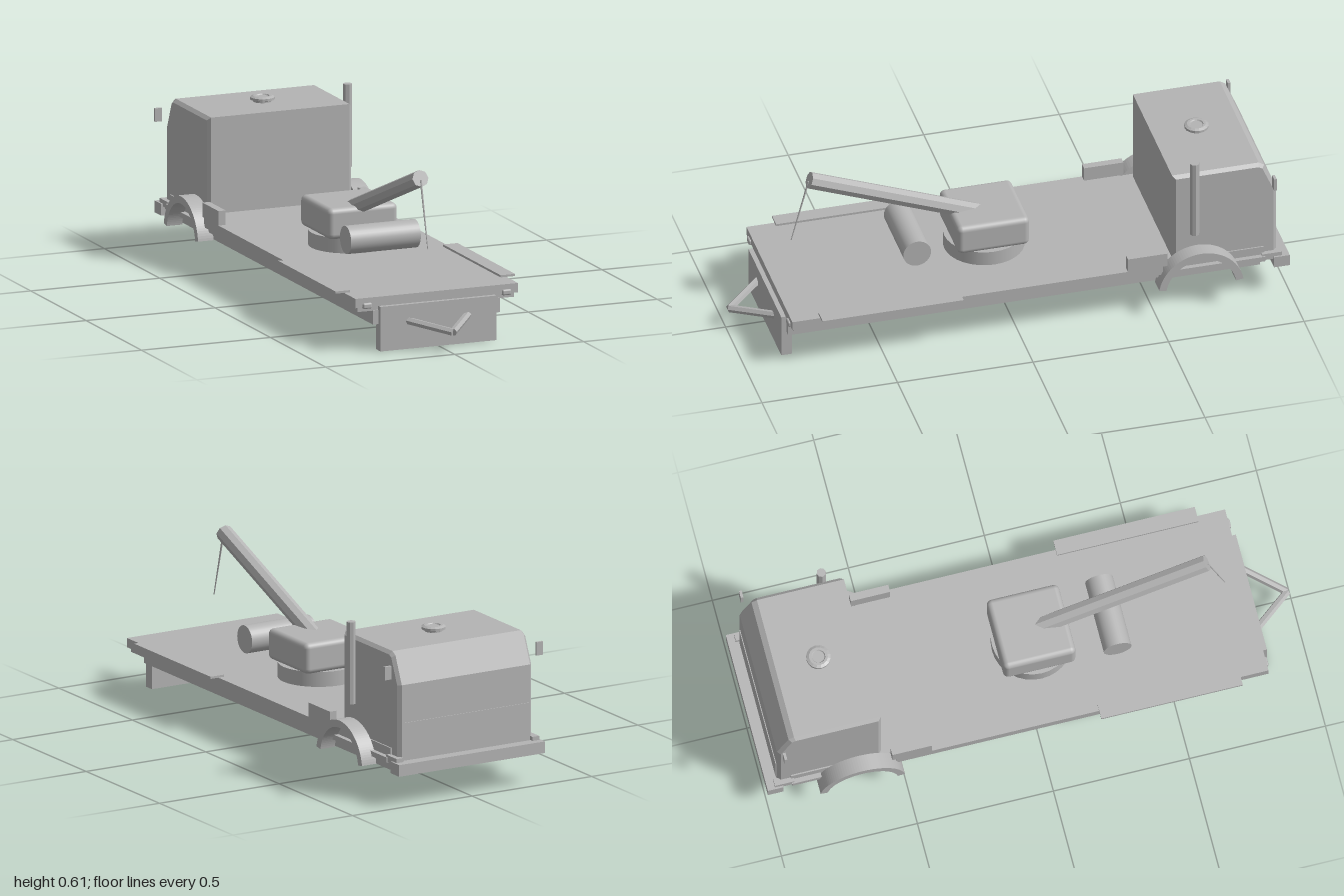
import * as THREE from 'three';
import { RoundedBoxGeometry } from 'three/addons/geometries/RoundedBoxGeometry.js';

export function createModel() {
  const model = new THREE.Group();
  model.name = 'craneTruck';
  const grey = new THREE.MeshStandardMaterial({ color: 0xb4b4b4 });
  grey.name = 'plainGrey';
  const greyFlat = grey;

  const add = (name, geo, x = 0, y = 0, z = 0) => {
    const m = new THREE.Mesh(geo, greyFlat);
    m.name = name;
    m.position.set(x, y, z);
    model.add(m);
    return m;
  };
  // box given by its limits on each axis
  const box = (name, x0, x1, y0, y1, z0, z1) =>
    add(name, new THREE.BoxGeometry(x1 - x0, y1 - y0, z1 - z0), (x0 + x1) / 2, (y0 + y1) / 2, (z0 + z1) / 2);
  // the same box on both sides
  const boxPair = (name, x0, x1, y0, y1, z0, z1) => {
    box(name + 'Left', x0, x1, y0, y1, z0, z1);
    box(name + 'Right', -x1, -x0, y0, y1, z0, z1);
  };
  // faceted rod between two points
  const rod = (name, a, b, r, sides, rEnd = r) => {
    const p = new THREE.Vector3(...a), q = new THREE.Vector3(...b);
    const dir = q.clone().sub(p);
    let g = new THREE.CylinderGeometry(rEnd, r, dir.length(), sides);
    if (sides < 12) { g = g.toNonIndexed(); g.computeVertexNormals(); }
    const m = add(name, g);
    m.position.copy(p).add(q).multiplyScalar(0.5);
    m.quaternion.setFromUnitVectors(new THREE.Vector3(0, 1, 0), dir.normalize());
    return m;
  };
  // side profile in (z, y), extruded across the width
  const across = (shape, width, bevel = 0) => {
    const g = new THREE.ExtrudeGeometry(shape, {
      depth: width - 2 * bevel, bevelEnabled: bevel > 0, bevelSize: bevel,
      bevelThickness: bevel, bevelOffset: -bevel, bevelSegments: 1, curveSegments: 24,
    });
    g.translate(0, 0, -(width - 2 * bevel) / 2);
    return g.rotateY(-Math.PI / 2);
  };

  // Chassis and deck
  box('chassis', -0.246, 0.246, 0.098, 0.15, -0.905, 0.835);
  box('sideRails', -0.303, 0.303, 0.148, 0.167, -0.91, 0.83);
  box('deck', -0.315, 0.315, 0.165, 0.199, -0.53, 0.838);
  box('cabFloor', -0.285, 0.285, 0.165, 0.199, -0.91, -0.53);
  boxPair('deckStrip', 0.292, 0.348, 0.199, 0.207, 0.215, 0.735);
  boxPair('sideLocker', 0.287, 0.315, 0.199, 0.252, -0.545, -0.4);
  box('rearBumper', -0.305, 0.305, 0.117, 0.16, -1.0, -0.942);
  boxPair('bumperBracket', 0.27, 0.298, 0.15, 0.175, -0.972, -0.9);

  // Cab with sloped rear
  const cab = new THREE.Shape([
    [-0.575, 0.155], [-0.575, 0.552], [-0.895, 0.552], [-0.915, 0.54], [-0.958, 0.44], [-0.958, 0.155],
  ].map(p => new THREE.Vector2(...p)));
  add('cab', across(cab, 0.56, 0.012));
  box('rearPanel', -0.262, 0.262, 0.17, 0.3, -0.961, -0.953);
  boxPair('mirror', 0.304, 0.331, 0.464, 0.513, -0.945, -0.935);

  // Roof hatch
  const hatch = [[0, 0], [0.033, 0], [0.033, 0.008], [0.044, 0.012], [0.044, 0.021], [0.034, 0.026], [0.025, 0.026], [0.022, 0.022], [0, 0.022]];
  const hatchGeo = new THREE.LatheGeometry(hatch.map(p => new THREE.Vector2(...p)), 16).toNonIndexed();
  hatchGeo.computeVertexNormals();
  add('roofHatch', hatchGeo, 0, 0.548, -0.737);

  // Exhaust stack
  rod('exhaust', [0.293, 0.305, -0.652], [0.293, 0.608, -0.652], 0.017, 8);

  // Wheel arches: partial rings
  const arch = new THREE.Shape();
  const a0 = 0.16, a1 = Math.PI - 0.16;
  arch.absarc(0, 0, 0.157, a0, a1, false);
  arch.absarc(0, 0, 0.13, a1, a0, true);
  arch.closePath();
  for (const s of [1, -1]) add(s > 0 ? 'fenderLeft' : 'fenderRight', across(arch, 0.06), s * 0.318, 0.095, -0.662);

  // Turntable, turret, boom and line
  add('turntable', new THREE.CylinderGeometry(0.146, 0.146, 0.056, 32), 0, 0.226, 0.047);
  add('turret', new RoundedBoxGeometry(0.27, 0.114, 0.266, 3, 0.02), 0, 0.309, 0.045);
  rod('boom', [0, 0.335, 0.065], [0, 0.579, 0.691], 0.031, 8);
  rod('hoistLine', [0, 0.574, 0.694], [0, 0.334, 0.758], 0.004, 6, 0.002);
  rod('drum', [-0.135, 0.288, 0.329], [0.135, 0.288, 0.329], 0.051, 32);

  // Front plate, lamps and V-shaped tow bar
  box('frontPlate', -0.225, 0.225, 0.002, 0.165, 0.815, 0.855);
  for (const s of [1, -1]) {
    add('lamp' + (s > 0 ? 'Left' : 'Right'), new RoundedBoxGeometry(0.035, 0.021, 0.02, 2, 0.006), s * 0.27, 0.17, 0.836);
    rod('towBar' + (s > 0 ? 'Left' : 'Right'), [s * 0.118, 0.104, 0.845], [0, 0.08, 0.986], 0.014, 6);
  }
  return model;
}
